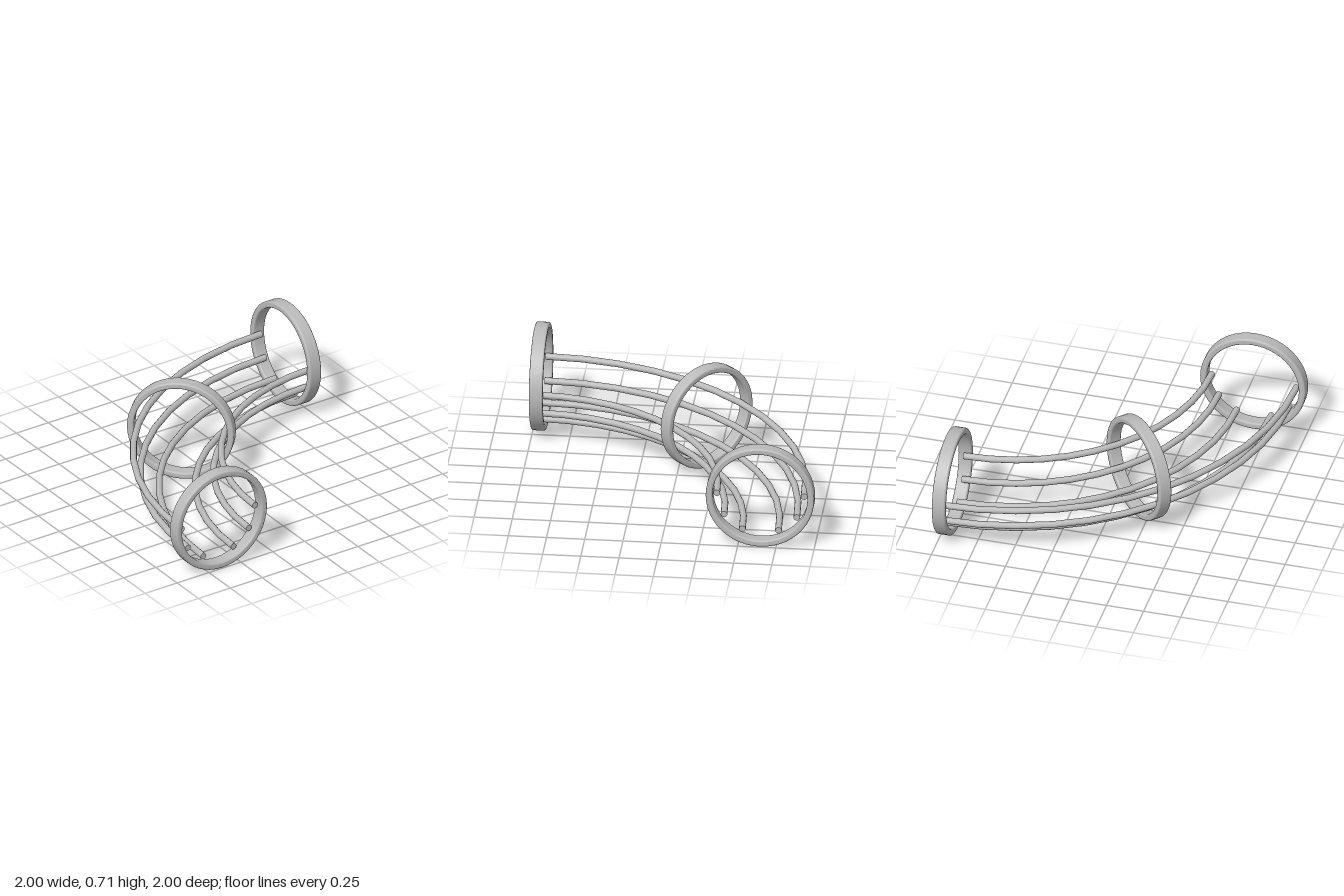
import * as THREE from 'three';

const CENTRE = 0.955;   // bend centre in x and z
const BEND = 1.6;       // radius of the tray's centreline
const AXIS_Y = 0.355;   // height of the ring centres

// Ring cross-section: a flat band with rounded edges
function ringGeometry() {
  const outer = 0.355, inner = 0.311, half = 0.045, r = 0.012;
  const corners = [
    [outer - r, -half + r, -Math.PI / 2], [outer - r, half - r, 0],
    [inner + r, half - r, Math.PI / 2], [inner + r, -half + r, Math.PI],
  ];
  const points = [];
  for (const [x, y, start] of corners) {
    for (let i = 0; i <= 3; i++) {
      const a = start + (i / 3) * Math.PI / 2;
      points.push(new THREE.Vector2(x + r * Math.cos(a), y + r * Math.sin(a)));
    }
  }
  points.push(points[0].clone());
  return new THREE.LatheGeometry(points, 48).rotateX(Math.PI / 2);
}

export function createModel() {
  const model = new THREE.Group();
  model.name = 'curvedWireTray';
  const steel = new THREE.MeshStandardMaterial({ color: 0xbababa });
  steel.name = 'steelGrey';

  const add = (parent, name, geometry, x, y, z) => {
    const mesh = new THREE.Mesh(geometry, steel);
    mesh.name = name;
    mesh.position.set(x, y, z);
    parent.add(mesh);
    return mesh;
  };

  // Support rings at both ends and halfway round the bend
  const band = ringGeometry();
  ['frontRing', 'middleRing', 'sideRing'].forEach((name, i) => {
    const t = i * Math.PI / 4;
    const ring = add(model, name, band,
      CENTRE - BEND * Math.cos(t), AXIS_Y, CENTRE - BEND * Math.sin(t));
    ring.rotation.y = -t;
  });

  // Curved rails round the lower half, mirrored about the centreline
  const wire = 0.022;
  const levels = [[0.286, 0.003], [0.238, -0.15], [0.118, -0.25]];
  levels.forEach(([offset, drop], i) => {
    for (const side of [1, -1]) {
      const radius = BEND + side * offset;
      const y = AXIS_Y + drop;
      const rail = new THREE.Group();
      rail.name = (side > 0 ? 'outerRail' : 'innerRail') + (i + 1);
      const arc = new THREE.TorusGeometry(radius, wire, 12, 12, Math.PI / 2)
        .rotateZ(Math.PI / 2).rotateX(-Math.PI / 2);
      add(rail, 'railWire', arc, CENTRE, y, CENTRE);
      const cap = new THREE.CircleGeometry(wire, 12);
      add(rail, 'frontCap', cap, CENTRE - radius, y, CENTRE);
      add(rail, 'sideCap', cap, CENTRE, y, CENTRE - radius).rotation.y = Math.PI / 2;
      model.add(rail);
    }
  });

  return model;
}
